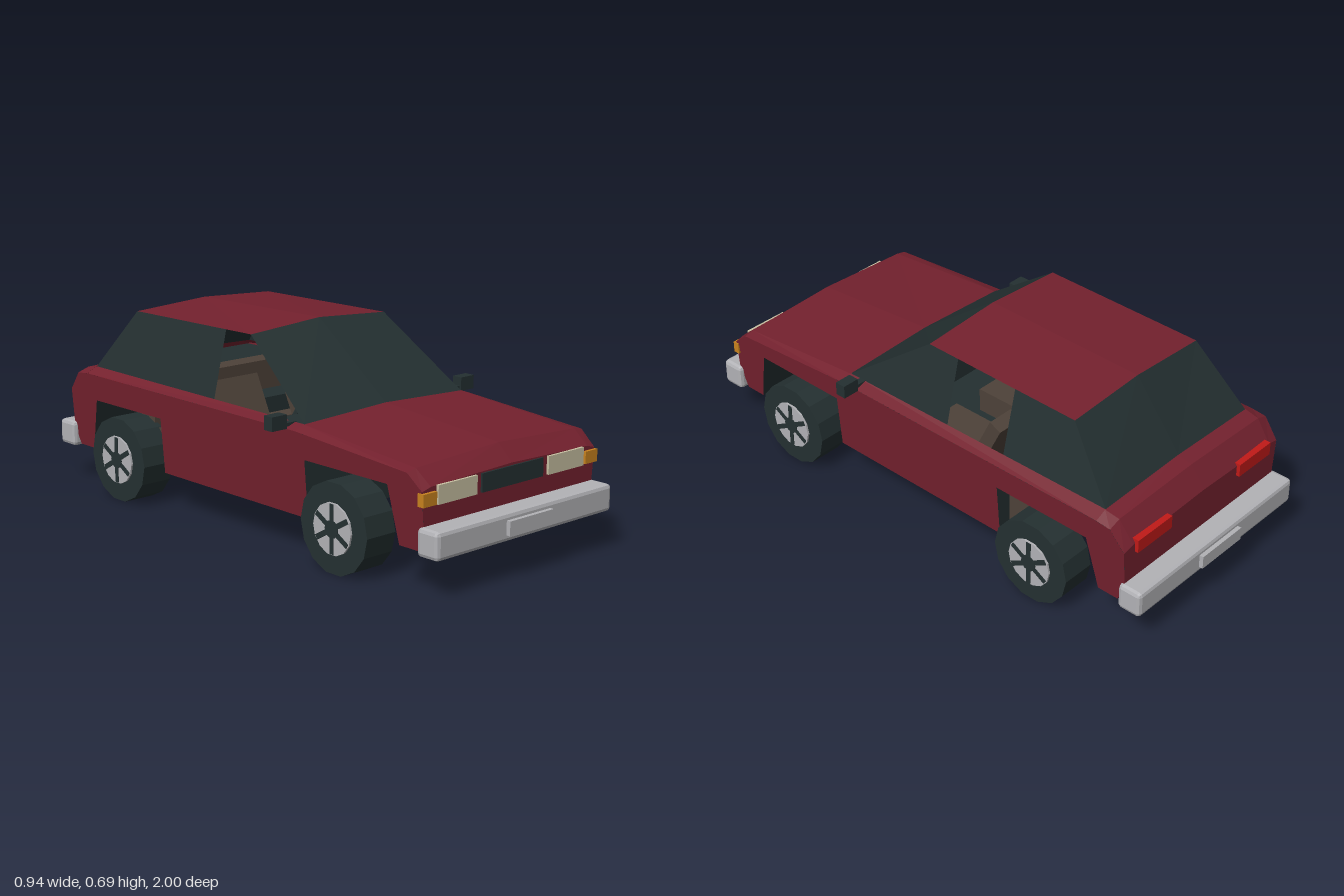
import * as THREE from 'three';
import { RoundedBoxGeometry } from 'three/addons/geometries/RoundedBoxGeometry.js';

const paint = (name, color) => new THREE.MeshStandardMaterial({ name, color, side: THREE.DoubleSide, flatShading: true });

export function createModel() {
  const red = paint('bodyRed', 0x74212e);
  const dark = paint('darkGlassAndRubber', 0x243031);
  const grey = paint('bumperGrey', 0xb2b2b6);
  const cream = paint('headlightCream', 0xc8c0a2);
  const amber = paint('indicatorAmber', 0xc8821e);
  const lamp = paint('tailLampRed', 0xc01a18);
  const brown = paint('seatBrown', 0x4e4239);

  const car = new THREE.Group();
  car.name = 'car';

  const add = (name, geo, mat, x = 0, y = 0, z = 0, parent = car) => {
    const m = new THREE.Mesh(geo, mat);
    m.name = name;
    m.position.set(x, y, z);
    parent.add(m);
    return m;
  };
  // box given by its limits
  const box = (name, mat, x0, x1, y0, y1, z0, z1) =>
    add(name, new THREE.BoxGeometry(x1 - x0, y1 - y0, z1 - z0), mat, (x0 + x1) / 2, (y0 + y1) / 2, (z0 + z1) / 2);
  // faceted surface through rows of points
  const skin = (name, mat, rows) => {
    const p = [];
    for (let i = 0; i + 1 < rows.length; i++)
      for (let j = 0; j + 1 < rows[i].length; j++) {
        const a = rows[i][j], b = rows[i][j + 1], c = rows[i + 1][j + 1], d = rows[i + 1][j];
        p.push(...a, ...b, ...c, ...a, ...c, ...d);
      }
    const g = new THREE.BufferGeometry();
    g.setAttribute('position', new THREE.Float32BufferAttribute(p, 3));
    g.computeVertexNormals();
    return add(name, g, mat);
  };
  // mirrored cross row: outer edge, shoulder, crown
  const row = ([z, xo, yo, xs, ys, yc]) =>
    [[-xo, yo, z], [-xs, ys, z], [0, yc, z], [xs, ys, z], [xo, yo, z]];
  const sideX = (y) => 0.387 + (y - 0.13) * 0.08;

  // side panels with wheel arches, leaning slightly outwards
  const arches = [[0.88, 0.14], [0.8, 0.14], [0.76, 0.33], [0.38, 0.33], [0.38, 0.13],
    [-0.375, 0.13], [-0.375, 0.33], [-0.755, 0.33], [-0.8, 0.14], [-0.88, 0.14]];
  const outline = [...arches, [-0.91, 0.2], [-0.91, 0.35], [-0.855, 0.42], [-0.8, 0.425],
    [0.34, 0.42], [0.85, 0.385], [0.91, 0.335], [0.91, 0.22]];
  for (const s of [-1, 1]) {
    const g = new THREE.ShapeGeometry(new THREE.Shape(outline.map(([z, y]) => new THREE.Vector2(z, y))));
    const p = g.attributes.position;
    for (let i = 0; i < p.count; i++) p.setXYZ(i, s * sideX(p.getY(i)), p.getY(i), p.getX(i));
    g.computeVertexNormals();
    add(s > 0 ? 'leftSide' : 'rightSide', g, red);
  }

  // underside and wheel wells
  skin('underside', dark, arches.map(([z, y]) => [[-sideX(y), y, z], [sideX(y), y, z]]));

  // nose and bonnet
  skin('bonnet', red, [
    [0.88, 0.388, 0.14, 0.36, 0.14, 0.14],
    [0.91, 0.394, 0.22, 0.36, 0.22, 0.22],
    [0.91, 0.403, 0.335, 0.365, 0.345, 0.355],
    [0.85, 0.408, 0.385, 0.37, 0.393, 0.41],
    [0.34, 0.41, 0.42, 0.368, 0.435, 0.45]].map(row));
  // boot lid and tail
  skin('tail', red, [
    [-0.8, 0.41, 0.425, 0.368, 0.445, 0.455],
    [-0.855, 0.41, 0.42, 0.365, 0.435, 0.445],
    [-0.91, 0.404, 0.35, 0.36, 0.36, 0.37],
    [-0.91, 0.393, 0.2, 0.36, 0.2, 0.2],
    [-0.88, 0.388, 0.14, 0.36, 0.14, 0.14]].map(row));

  // cabin
  const roofRow = (z, y, yc) => [[-0.31, y, z], [0, yc, z], [0.31, y, z]];
  const beltRow = (z, y, yc) => [[-0.366, y, z], [0, yc, z], [0.366, y, z]];
  const front = roofRow(0.01, 0.675, 0.695), back = roofRow(-0.62, 0.668, 0.684);
  skin('roof', red, [front, back]);
  skin('windscreen', dark, [beltRow(0.34, 0.435, 0.45), front]);
  skin('rearWindow', dark, [back, beltRow(-0.8, 0.445, 0.455)]);

  const top = (z) => 0.675 + (z - 0.01) * 0.011;
  const belt = (z) => 0.435 + (0.34 - z) * 0.0088;
  for (const s of [-1, 1]) {
    const hi = (z) => [s * 0.31, top(z), z];
    const lo = (z) => [s * 0.366, belt(z), z];
    // the right front and left middle windows are wound down
    if (s > 0) skin('frontSideWindow', dark, [[lo(0.34), lo(-0.12)], [hi(0.01), hi(-0.12)]]);
    else skin('middleSideWindow', dark, [[lo(-0.12), lo(-0.37)], [hi(-0.12), hi(-0.37)]]);
    skin('rearSideWindow', dark, [[lo(-0.37), lo(-0.8)], [hi(-0.37), hi(-0.62)]]);
    skin('shoulder', red, [[lo(0.34), lo(-0.8)], [[s * 0.41, 0.42, 0.34], [s * 0.41, 0.425, -0.8]]]);

    // mirror
    const x = s * 0.44;
    box('mirror', dark, x - 0.032, x + 0.032, 0.42, 0.468, 0.262, 0.302);
    box('mirrorArm', dark, s * 0.385 - 0.025, s * 0.385 + 0.025, 0.425, 0.437, 0.27, 0.295);

    // lamps
    const lampBox = (name, mat, a, b, y0, y1, z0, z1) =>
      box(name, mat, Math.min(s * a, s * b), Math.max(s * a, s * b), y0, y1, z0, z1);
    lampBox('headlight', cream, 0.167, 0.34, 0.285, 0.347, 0.9, 0.919);
    lampBox('indicator', amber, 0.348, 0.407, 0.288, 0.33, 0.896, 0.921);
    lampBox('tailLamp', lamp, 0.18, 0.35, 0.328, 0.376, -0.923, -0.89);

    // front seat
    lampBox('frontSeatBase', brown, 0.06, 0.3, 0.16, 0.25, -0.15, 0.13);
    const seat = add('frontSeatBack', new THREE.BoxGeometry(0.22, 0.25, 0.05), brown, s * 0.18, 0.345, -0.21);
    seat.rotation.x = -0.45;
  }
  box('grille', dark, -0.143, 0.143, 0.285, 0.347, 0.9, 0.917);

  // interior
  box('dashboard', dark, -0.36, 0.36, 0.33, 0.43, 0.2, 0.34);
  box('bulkhead', dark, -0.38, 0.38, 0.14, 0.41, 0.34, 0.36);
  box('parcelShelf', dark, -0.36, 0.36, 0.425, 0.432, -0.8, -0.56);
  box('rearSeatBase', brown, -0.34, 0.34, 0.15, 0.27, -0.5, -0.3);
  box('rearSeatBack', brown, -0.34, 0.34, 0.27, 0.44, -0.57, -0.49);
  const steering = add('steeringWheel', new THREE.TorusGeometry(0.06, 0.009, 6, 14), dark, -0.18, 0.41, 0.15);
  steering.rotation.x = 0.45;

  // bumpers and number plates
  for (const s of [-1, 1]) {
    add('bumper', new RoundedBoxGeometry(0.82, 0.094, 0.09, 1, 0.014), grey, 0, 0.177, s * 0.94);
    add('numberPlate', new THREE.BoxGeometry(0.205, 0.048, 0.02), grey, 0, 0.178, s * 0.99);
  }

  // wheels with six dark spokes on each face of the rim
  const drum = (r, w, n) => new THREE.CylinderGeometry(r, r, w, n).rotateZ(Math.PI / 2);
  for (const z of [0.57, -0.565]) {
    add('axle', drum(0.018, 0.7, 8), dark, 0, 0.153, z);
    for (const s of [-1, 1]) {
      const wheel = new THREE.Group();
      wheel.name = 'wheel';
      wheel.position.set(s * 0.39, 0.153, z);
      car.add(wheel);
      add('tyre', drum(0.154, 0.122, 14), dark, 0, 0, 0, wheel);
      add('rim', drum(0.087, 0.136, 14), grey, 0, 0, 0, wheel);
      add('hub', drum(0.03, 0.142, 12), dark, 0, 0, 0, wheel);
      for (let i = 0; i < 3; i++)
        add('spoke', new THREE.BoxGeometry(0.14, 0.165, 0.018), dark, 0, 0, 0, wheel).rotation.x = i * Math.PI / 3;
      box('strut', dark, s * 0.29 - 0.02, s * 0.29 + 0.02, 0.15, 0.335, z - 0.02, z + 0.02);
    }
  }
  box('exhaust', dark, -0.22, -0.19, 0.15, 0.17, -0.8, -0.5);
  return car;
}
